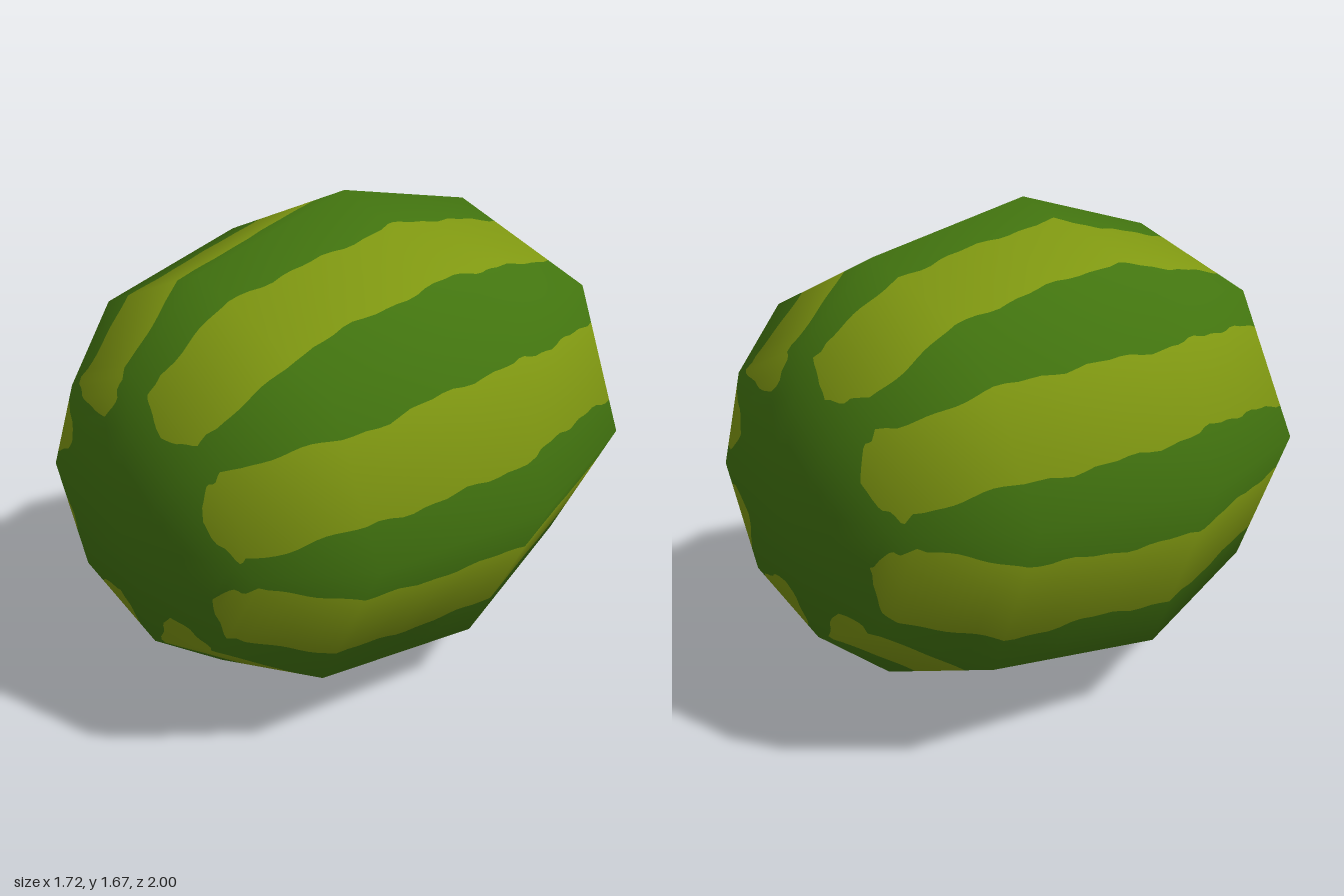
import * as THREE from 'three';

// Eight-sided cross-section, counter-clockwise around the long (z) axis
const RING = [[0.86, -0.03], [0.64, 0.57], [0, 0.84], [-0.57, 0.615], [-0.86, 0.035], [-0.645, -0.565], [-0.03, -0.835], [0.57, -0.615]];
// Lengthwise profile: z, ring scale, normal (radial, axial), rows to the next ring
const PROFILE = [
  [1, 0, 0, 1, 36], [0.9, 0.56, 0.55, 0.83, 12], [0.63, 0.835, 0.9, 0.43, 16], [0, 1, 1, 0, 16],
  [-0.63, 0.835, 0.9, -0.43, 12], [-0.9, 0.56, 0.55, -0.83, 36], [-1, 0, 0, -1, 0],
];
// How near the pole each stripe reaches, as a ring scale (front, back)
const REACH = [[0.42, 0.46], [0.46, 0.44], [0.43, 0.48], [0.47, 0.43], [0.53, 0.45], [0.48, 0.47], [0.43, 0.44], [0.46, 0.46]];

// All rows from the front pole to the back pole
function profileRows() {
  const rows = [];
  for (let i = 0; i < PROFILE.length - 1; i++) {
    const n = PROFILE[i][4];
    for (let k = 0; k < n; k++) {
      rows.push(PROFILE[i].map((v, c) => v + (PROFILE[i + 1][c] - v) * k / n));
    }
  }
  rows.push(PROFILE[PROFILE.length - 1]);
  return rows;
}

// Wavy stripe edges as fractions across one of the eight sides
function stripeEdges(side, z, scale) {
  const a = RING[side], b = RING[(side + 1) % 8];
  const width = Math.hypot(a[0] - b[0], a[1] - b[1]) * Math.max(scale, 0.01);
  const past = (scale - REACH[side][z > 0 ? 0 : 1]) / 0.12;
  if (past <= 0) return [0.5, 0.5];
  const round = Math.sqrt(Math.min(1, past));
  const wave = (s) => 0.009 * Math.sin(7 * z + s) + 0.007 * Math.sin(17 * z + 2.3 * s) + 0.004 * Math.sin(41 * z + 4.1 * s)
    + (scale < 0.6 ? 0.012 * Math.sin(scale * 75 + s * 3) : 0);
  const half = 0.127 + 0.018 * Math.max(0, (scale - 0.56) / 0.44);
  const edge = (s) => Math.min(0.46, Math.max(0, (half + wave(s)) * round / width));
  return [0.5 - edge(side * 1.7), 0.5 + edge(side * 2.9 + 1)];
}

// Point and smooth normal on the skin
function skinPoint(side, row, t) {
  const [z, scale, radial, axial] = row;
  const a = RING[side], b = RING[(side + 1) % 8];
  const la = Math.hypot(...a), lb = Math.hypot(...b);
  const mix = (i) => a[i] + (b[i] - a[i]) * t;
  const mixN = (i) => a[i] / la + (b[i] / lb - a[i] / la) * t;
  return {
    p: [mix(0) * scale, mix(1) * scale, z],
    n: new THREE.Vector3(mixN(0) * radial, mixN(1) * radial, axial).normalize().toArray(),
  };
}

// Fill the bands between neighbouring columns of the skin
function skinGeometry(bands) {
  const pos = [], nor = [];
  const rows = profileRows();
  for (let side = 0; side < 8; side++) {
    const columns = rows.map((r) => {
      const [a, b] = stripeEdges(side, r[0], r[1]);
      return [0, a, b, 1].map((t) => skinPoint(side, r, t));
    });
    for (let i = 0; i < rows.length - 1; i++) {
      for (const c of bands) {
        const q = [columns[i][c], columns[i + 1][c], columns[i + 1][c + 1], columns[i][c + 1]];
        for (const k of [0, 1, 2, 0, 2, 3]) {
          pos.push(...q[k].p);
          nor.push(...q[k].n);
        }
      }
    }
  }
  const g = new THREE.BufferGeometry();
  g.setAttribute('position', new THREE.Float32BufferAttribute(pos, 3));
  g.setAttribute('normal', new THREE.Float32BufferAttribute(nor, 3));
  return g;
}

export function createModel() {
  const group = new THREE.Group();
  group.name = 'watermelon';
  const green = new THREE.MeshStandardMaterial({ color: 0x42740f });
  green.name = 'rind green';
  const lime = new THREE.MeshStandardMaterial({ color: 0x7f9711 });
  lime.name = 'stripe lime';

  const rind = new THREE.Mesh(skinGeometry([0, 2]), green);
  rind.name = 'rind';
  const stripes = new THREE.Mesh(skinGeometry([1]), lime);
  stripes.name = 'stripes';

  // The melon lies with a very slight tilt
  const melon = new THREE.Group();
  melon.name = 'melon';
  melon.add(rind, stripes);
  melon.rotation.set(0.02, -0.007, 0);
  melon.position.y = 0.835;
  group.add(melon);
  return group;
}
